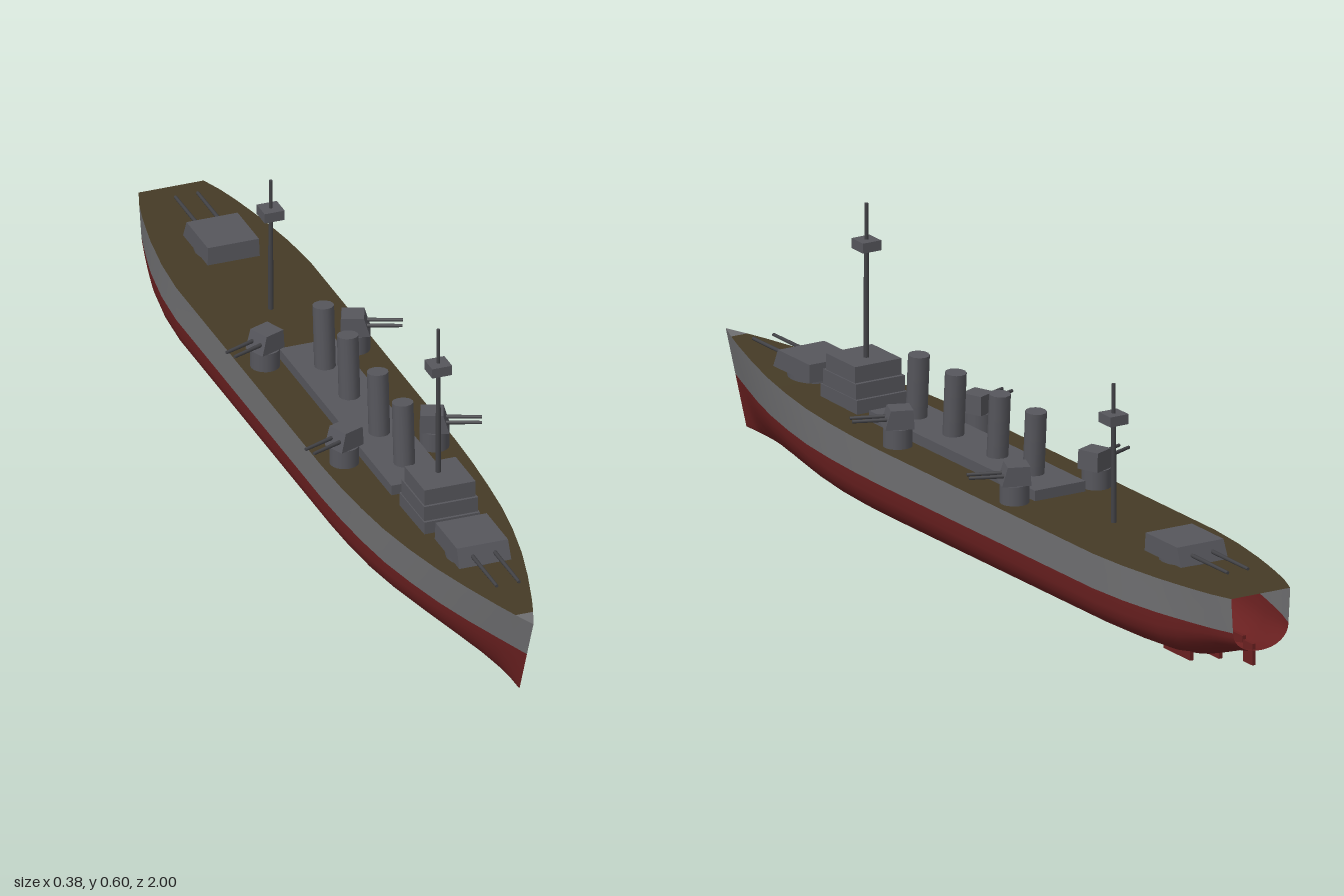
import * as THREE from 'three';

const mat = (name, color, side = THREE.FrontSide) => {
  const m = new THREE.MeshStandardMaterial({ color, side });
  m.name = name;
  return m;
};

export function createModel() {
  const hullGrey = mat('hull grey', 0x6e6e70, THREE.DoubleSide);
  const hullRed = mat('underwater red', 0x6a2020, THREE.DoubleSide);
  const deckOlive = mat('deck olive', 0x453b26, THREE.DoubleSide);
  const grey = mat('structure grey', 0x56565c);
  const dark = mat('mast grey', 0x424246);
  const ship = new THREE.Group();
  ship.name = 'warship';

  const add = (parent, name, geo, material, x = 0, y = 0, z = 0) => {
    const m = new THREE.Mesh(geo, material);
    m.name = name;
    m.position.set(x, y, z);
    parent.add(m);
    return m;
  };
  const box = (parent, name, w, y0, y1, z0, z1, material, x = 0) =>
    add(parent, name, new THREE.BoxGeometry(w, y1 - y0, z1 - z0), material, x, (y0 + y1) / 2, (z0 + z1) / 2);
  // Box whose upper corners are pulled in at the front, back and sides
  const taperBox = (w, h, d, front, back, side) => {
    const g = new THREE.BoxGeometry(w, h, d);
    const p = g.attributes.position;
    for (let i = 0; i < p.count; i++) {
      if (p.getY(i) < 0) continue;
      p.setZ(i, p.getZ(i) + (p.getZ(i) > 0 ? -front : back));
      p.setX(i, p.getX(i) - Math.sign(p.getX(i)) * side);
    }
    g.computeVertexNormals();
    return g;
  };
  // Surface through a row of cross-sections with equal point counts
  const loft = (sections) => {
    const n = sections[0].length, idx = [];
    for (let i = 0; i < sections.length - 1; i++) {
      for (let j = 0; j < n - 1; j++) {
        const a = i * n + j, b = a + n;
        idx.push(a, a + 1, b, a + 1, b + 1, b);
      }
    }
    const g = new THREE.BufferGeometry();
    g.setAttribute('position', new THREE.Float32BufferAttribute(sections.flat(2), 3));
    g.setIndex(idx);
    g.computeVertexNormals();
    return g;
  };

  // Hull stations: z and half-width at the deck
  const stations = [[-1, 0.07], [-0.95, 0.088], [-0.9, 0.101], [-0.85, 0.112], [-0.8, 0.122], [-0.7, 0.137],
    [-0.6, 0.145], [-0.3, 0.145], [0, 0.145], [0.2, 0.145], [0.3, 0.142], [0.4, 0.136], [0.5, 0.127],
    [0.6, 0.112], [0.7, 0.092], [0.8, 0.066], [0.9, 0.036], [0.95, 0.019], [1, 0]];
  const smooth = THREE.MathUtils.smoothstep;
  const water = 0.105;
  const sheer = (z) => 0.178 + 0.014 * smooth(z, 0.3, 1.1);
  const point = (x, y, z) => [x, y, z - 0.075 * smooth(z, 0.7, 1) * (0.19 - y) / 0.18];
  const waterWidth = (z, w) => w * (1 - 0.15 * smooth(z, 0.4, 1) - 0.06 * smooth(-z, 0.75, 1));

  const topsides = (side) => loft(stations.map(([z, w]) => [0, 0.5, 1].map((t) => {
    const y = THREE.MathUtils.lerp(sheer(z), water, t);
    return point(side * THREE.MathUtils.lerp(w, waterWidth(z, w), t), y, z);
  })));
  add(ship, 'leftTopsides', topsides(1), hullGrey);
  add(ship, 'rightTopsides', topsides(-1), hullGrey);

  add(ship, 'underwaterHull', loft(stations.map(([z, w]) => {
    const keel = 0.006 + 0.054 * smooth(-z, 0.8, 1.02);
    const e = 0.75 + 0.5 * smooth(z, 0.3, 0.9) + 0.2 * smooth(-z, 0.7, 1);
    return Array.from({ length: 17 }, (_, k) => {
      const a = Math.PI * k / 16, c = Math.cos(a);
      const x = Math.sign(c) * Math.pow(Math.abs(c), e) * waterWidth(z, w);
      return point(x, water - (water - keel) * Math.pow(Math.max(0, Math.sin(a)), e), z);
    });
  })), hullRed);

  const deck = (list) => loft(list.map(([z, w]) => [-1, 1].map((s) => point(s * w, sheer(z), z))));
  add(ship, 'deck', deck(stations.slice(0, -1)), deckOlive);
  add(ship, 'bowTip', deck(stations.slice(-2)), hullGrey);

  // Rudder, keel fin and shaft brackets
  box(ship, 'rudder', 0.008, 0.02, 0.065, -0.975, -0.94, hullRed);
  box(ship, 'keelFin', 0.008, 0, 0.025, -0.85, -0.72, hullRed);
  for (const s of [-1, 1]) box(ship, 'shaftBracket', 0.008, 0.004, 0.035, -0.84, -0.74, hullRed, s * 0.062);

  // Deckhouse and funnels
  box(ship, 'deckhouse', 0.12, 0.17, 0.2, -0.25, 0.37, grey);
  for (const z of [0.283, 0.145, -0.02, -0.155]) {
    const f = add(ship, 'funnel', new THREE.CylinderGeometry(0.022, 0.022, 0.138, 12), grey, 0, 0.264, z);
    f.rotation.x = -0.07;
  }

  // Bridge in three tiers
  const tiers = [[0.12, 0.17, 0.208, 0.415, 0.552], [0.116, 0.208, 0.24, 0.422, 0.546], [0.11, 0.24, 0.274, 0.43, 0.54]];
  for (const [w, y0, y1, z0, z1] of tiers) box(ship, 'bridgeTier', w, y0, y1, z0, z1, grey);

  // Masts with lookout platforms
  const mast = (name, z, y0, platform, top) => {
    const g = new THREE.Group();
    g.name = name;
    ship.add(g);
    add(g, 'lowerMast', new THREE.CylinderGeometry(0.005, 0.006, platform - y0, 8), dark, 0, (y0 + platform) / 2, z);
    add(g, 'topmast', new THREE.CylinderGeometry(0.004, 0.004, top - platform, 8), dark, 0, (top + platform) / 2, z);
    box(g, 'lookout', 0.043, platform, platform + 0.021, z - 0.022, z + 0.022, grey);
  };
  mast('foremast', 0.475, 0.27, 0.501, 0.598);
  mast('aftMast', -0.45, 0.17, 0.387, 0.47);

  // Twin-gun turret facing +z; base is the height of its drum
  const turret = (name, o) => {
    const g = new THREE.Group();
    g.name = name;
    g.position.set(o.x || 0, o.y, o.z);
    g.rotation.y = o.turn || 0;
    ship.add(g);
    add(g, 'drum', new THREE.CylinderGeometry(o.r, o.r, o.base, 20), grey, 0, o.base / 2, 0);
    add(g, 'gunhouse', taperBox(o.w, o.h, o.d, o.slope, 0.002, 0.001), grey, 0, o.base + o.h / 2, 0);
    for (const s of [-1, 1]) {
      const b = add(g, 'barrel', new THREE.CylinderGeometry(0.0035, 0.0045, o.reach, 8), dark,
        s * o.gap, o.base + o.h * 0.48, o.d / 2 - 0.02 + o.reach / 2);
      b.rotation.x = Math.PI / 2;
    }
  };
  const main = { w: 0.112, h: 0.038, d: 0.136, slope: 0.016, r: 0.056, gap: 0.024, reach: 0.145 };
  turret('foreTurret', { ...main, y: 0.172, z: 0.667, base: 0.022 });
  turret('aftTurret', { ...main, y: 0.172, z: -0.722, base: 0.012, turn: Math.PI });
  for (const s of [-1, 1]) {
    for (const z of [0.205, -0.232]) {
      turret('sideTurret', { x: s * 0.097, y: 0.172, z, base: 0.046, w: 0.05, h: 0.04, d: 0.06,
        slope: 0.012, r: 0.03, gap: 0.012, reach: 0.085, turn: s * 1.19 });
    }
  }
  return ship;
}
